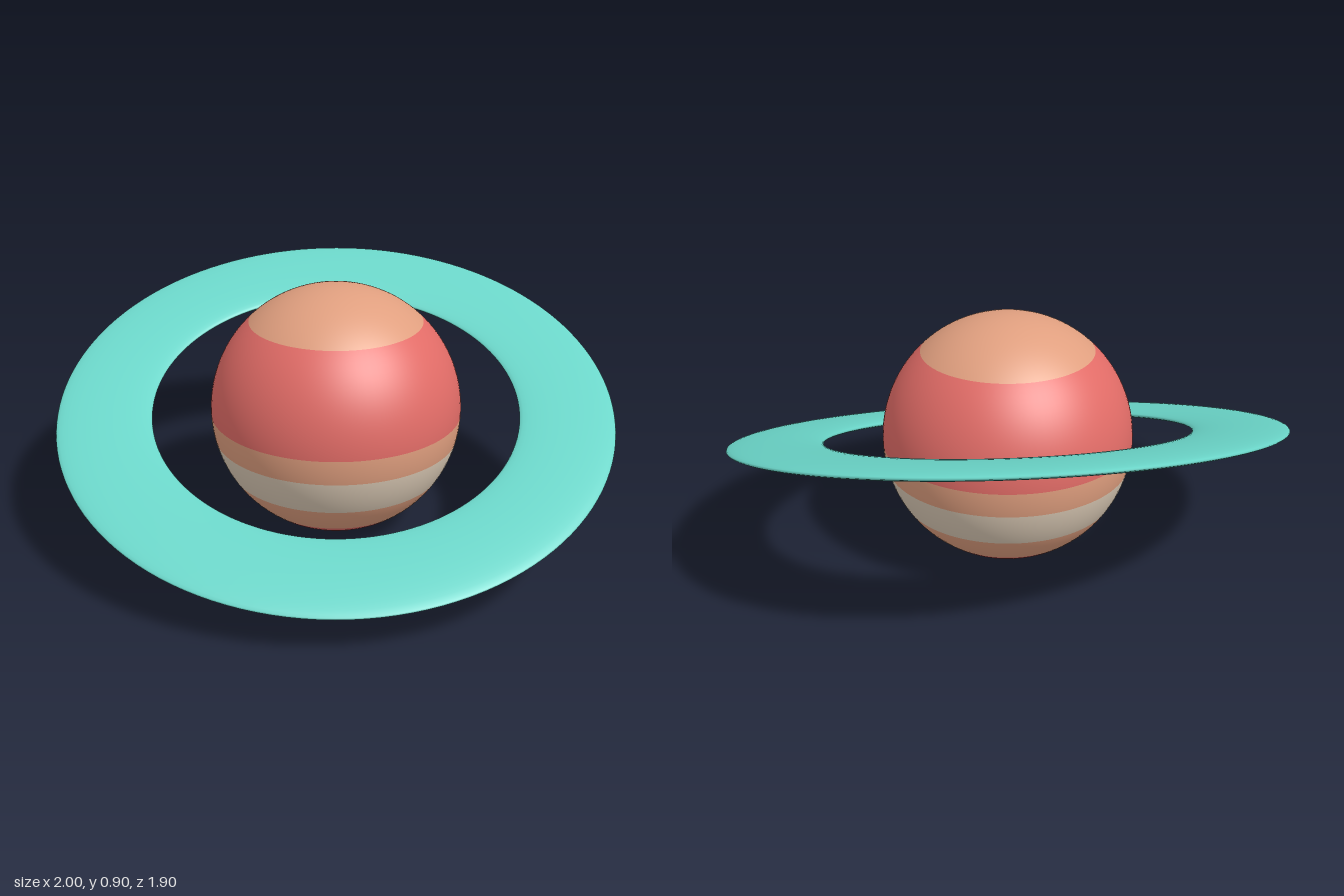
import * as THREE from 'three';

const mat = (name, color) => {
  const m = new THREE.MeshStandardMaterial({ color });
  m.name = name;
  return m;
};

export function createModel() {
  const red = mat('coral red', 0xe26c67);
  const orange = mat('sand orange', 0xe09f7f);
  const cream = mat('cream', 0xdccbb6);
  const teal = mat('teal', 0x6bd6c9);

  const model = new THREE.Group();
  model.name = 'ringedPlanet';
  const radius = 0.45;

  // Planet: one sphere sliced into colour bands at these heights, top to bottom
  const planet = new THREE.Group();
  planet.name = 'planet';
  planet.position.y = radius;
  const heights = [0.9, 0.778, 0.438, 0.346, 0.214, 0.1, 0];
  const bands = [
    ['northCap', orange], ['wideBand', red], ['thinBand', orange],
    ['paleBand', cream], ['lowerBand', orange], ['southCap', red],
  ];
  const polar = (y) => Math.acos(THREE.MathUtils.clamp((y - radius) / radius, -1, 1));
  bands.forEach(([name, material], i) => {
    const start = polar(heights[i]);
    const length = polar(heights[i + 1]) - start;
    const rows = Math.max(4, Math.ceil(length / 0.05));
    const band = new THREE.Mesh(
      new THREE.SphereGeometry(radius, 96, rows, 0, Math.PI * 2, start, length), material);
    band.name = name;
    planet.add(band);
  });
  model.add(planet);

  // Ring: flattened torus, tilted down towards the front
  const ringGeometry = new THREE.TorusGeometry(0.83, 0.17, 32, 128);
  ringGeometry.scale(1, 1, 0.13);
  ringGeometry.rotateX(Math.PI / 2);
  const ring = new THREE.Mesh(ringGeometry, teal);
  ring.name = 'ring';
  ring.position.y = radius;
  ring.rotation.x = THREE.MathUtils.degToRad(18);
  model.add(ring);

  return model;
}
